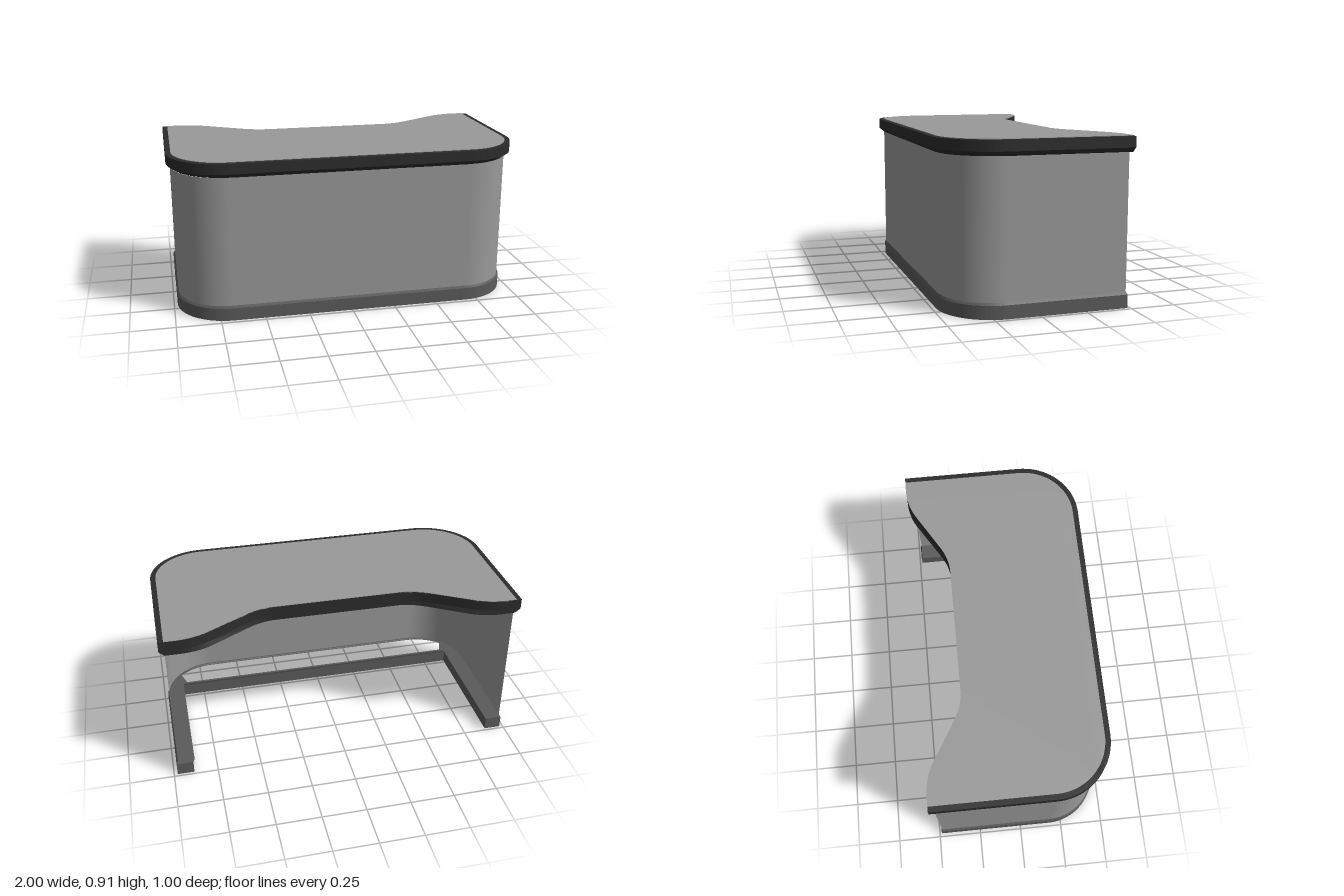
import * as THREE from 'three';

const paint = (name, color, side = THREE.FrontSide) => {
  const m = new THREE.MeshStandardMaterial({ color, side });
  m.name = name;
  return m;
};

// Points run in plan as (x, z). Rounded front: from the left side round to the right side.
function roundedFront(halfWidth, front, radius, segments = 20, start = 0) {
  const pts = [];
  for (let i = 0; i <= segments; i++) {
    const a = start + (Math.PI / 2 - start) * i / segments;
    pts.push([halfWidth - radius + radius * Math.cos(a), front - radius + radius * Math.sin(a)]);
  }
  return [...pts, ...pts.map(([x, z]) => [-x, z]).reverse()];
}

// Wavy back edge of the worktop, from the right corner to the left corner
function wavyBack(halfWidth) {
  const path = new THREE.Path();
  path.moveTo(-halfWidth, -0.5);
  path.lineTo(-0.92, -0.5);
  path.quadraticCurveTo(-0.82, -0.5, -0.74, -0.455);
  path.lineTo(-0.52, -0.325);
  path.quadraticCurveTo(-0.44, -0.278, -0.36, -0.278);
  const half = path.getPoints(10).map(p => [p.x, p.y]);
  return [...half, ...half.map(([x, z]) => [-x, z]).reverse()];
}

// Flat slab with a plan outline between two heights
function slab(outline, y0, y1, hole) {
  const flip = pts => pts.map(([x, z]) => new THREE.Vector2(x, -z));
  const shape = new THREE.Shape(flip(outline));
  if (hole) shape.holes.push(new THREE.Path(flip(hole)));
  const geo = new THREE.ExtrudeGeometry(shape, { depth: y1 - y0, bevelEnabled: false });
  return geo.rotateX(-Math.PI / 2).translate(0, y0, 0);
}

// Pulls the vertices at one height inwards to make a chamfer
function taper(geo, y, sx, sFront, sBack) {
  const p = geo.attributes.position;
  for (let i = 0; i < p.count; i++) {
    if (Math.abs(p.getY(i) - y) > 0.001) continue;
    const z = p.getZ(i);
    p.setX(i, p.getX(i) * sx);
    p.setZ(i, z * (z > 0 ? sFront : sBack));
  }
  geo.computeVertexNormals();
  return geo;
}

export function createModel() {
  const group = new THREE.Group();
  group.name = 'receptionDesk';
  const grey = paint('lightGrey', 0x999999, THREE.DoubleSide);
  const plinthGrey = paint('darkGrey', 0x5b5b5b);
  const black = paint('charcoal', 0x2c2c2c);
  const add = (name, geo, mat) => {
    const mesh = new THREE.Mesh(geo, mat);
    mesh.name = name;
    group.add(mesh);
  };

  // Worktop with a chamfered underside
  const top = [...roundedFront(1, 0.5, 0.32), ...wavyBack(1)];
  add('worktopEdge', slab(top, 0.85, 0.908), black);
  add('worktopChamfer', taper(slab(top, 0.825, 0.85), 0.825, 0.97, 0.94, 1), black);
  add('worktopSurface', slab([...roundedFront(0.97, 0.47, 0.29), ...wavyBack(0.97)], 0.905, 0.911), grey);

  // Curved thin panel round the front and sides
  const line = [[0.97, -0.478], ...roundedFront(0.97, 0.47, 0.29), [-0.97, -0.478]];
  const panel = new THREE.PlaneGeometry(1, 1, line.length - 1, 1);
  const p = panel.attributes.position;
  for (let i = 0; i < p.count; i++) {
    const [x, z] = line[line.length - 1 - (i % line.length)];
    p.setXYZ(i, x, i < line.length ? 0.826 : 0.075, z);
  }
  panel.computeVertexNormals();
  add('frontPanel', panel, grey);

  // Plinth: rounded outside, square inside, with an open slot behind the panel
  const plinth = [
    [0.98, -0.485], ...roundedFront(0.98, 0.477, 0.3), [-0.98, -0.485],
    [-0.885, -0.485], [-0.885, 0.27], [0.885, 0.27], [0.885, -0.485],
  ];
  const slot = [[0.86, 0.285], ...roundedFront(0.967, 0.464, 0.287, 12, 0.75), [-0.86, 0.285]];
  add('plinth', slab(plinth, 0, 0.073, slot), plinthGrey);
  add('plinthChamfer', taper(slab(plinth, 0.073, 0.087, slot), 0.087, 0.99, 0.988, 0.986), plinthGrey);

  return group;
}
